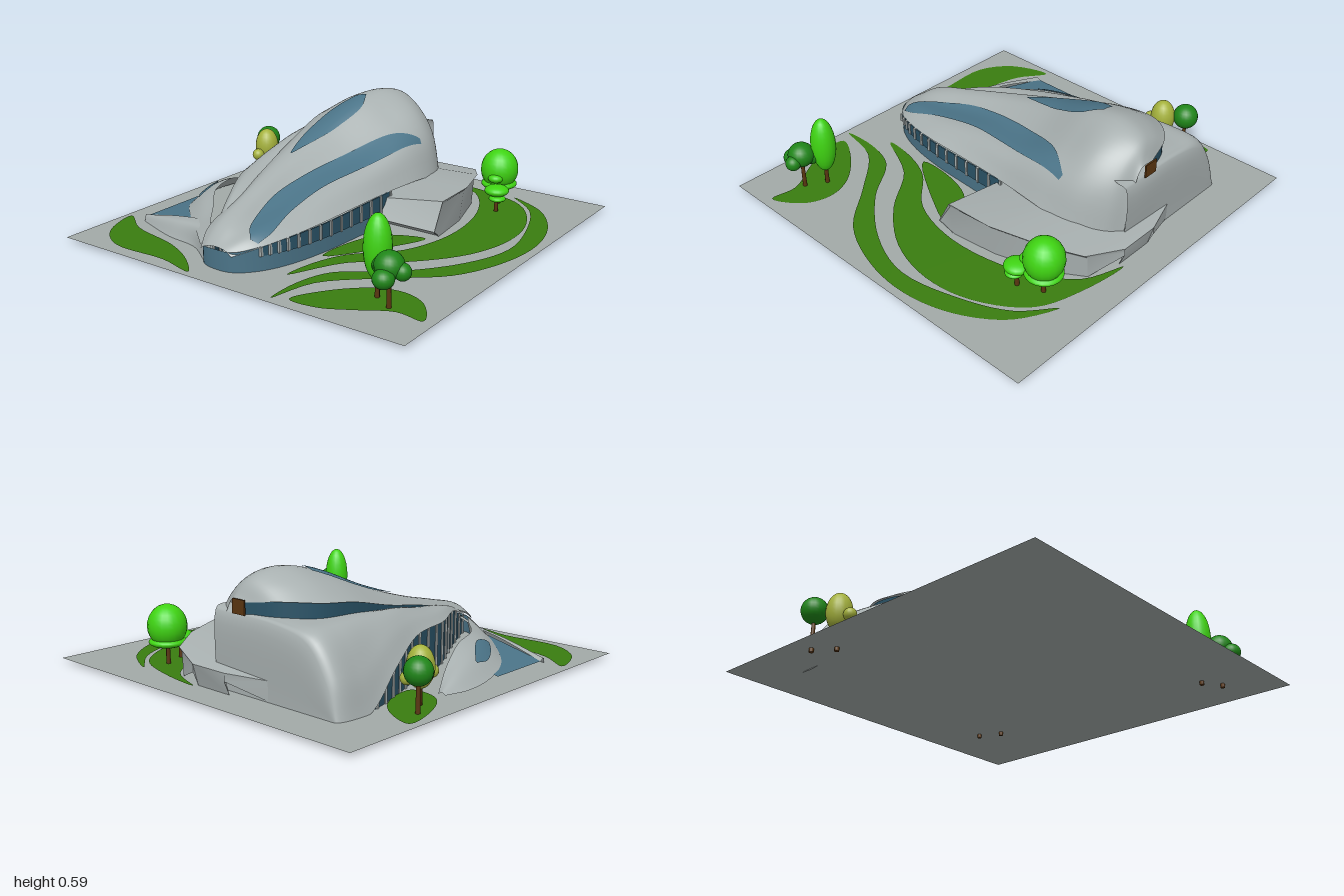
import * as THREE from 'three';
import { toCreasedNormals } from 'three/addons/utils/BufferGeometryUtils.js';

const mat = (name, color) => new THREE.MeshStandardMaterial({ name, color, side: THREE.DoubleSide });
const V = (x, y, z) => new THREE.Vector3(x, y, z);

export function createModel() {
  const root = new THREE.Group();
  const M = {
    paving: mat('paving', 0xa2aaa8), shell: mat('shell', 0xa8b0b0),
    glass: mat('glass', 0x4b7488), dark: mat('darkGlass', 0x2a5367),
    grass: mat('grass', 0x3a7d10), bark: mat('bark', 0x5a3510),
    leaf: mat('brightLeaf', 0x3fd412), deep: mat('deepLeaf', 0x1f8618), olive: mat('oliveLeaf', 0xa5b23c),
  };
  const add = (name, geo, m, parent = root) => {
    const mesh = new THREE.Mesh(geo, m);
    mesh.name = name;
    parent.add(mesh);
    return mesh;
  };

  // Grid surface from a function of u, v
  const grid = (nu, nv, f) => {
    const pos = [], idx = [];
    for (let j = 0; j <= nv; j++) for (let i = 0; i <= nu; i++) {
      const p = f(i / nu, j / nv);
      pos.push(p.x, p.y, p.z);
      if (i < nu && j < nv) {
        const a = j * (nu + 1) + i, b = a + nu + 1;
        idx.push(a, a + 1, b, a + 1, b + 1, b);
      }
    }
    const g = new THREE.BufferGeometry();
    g.setAttribute('position', new THREE.Float32BufferAttribute(pos, 3));
    g.setIndex(idx);
    g.computeVertexNormals();
    return g;
  };
  // Rows [z, x, y, x, y, ...] to points
  const toPoints = rows => rows.map(([z, ...r]) =>
    Array.from({ length: r.length / 2 }, (_, i) => V(r[2 * i], r[2 * i + 1], z)));
  // Smooth loft through rows of points
  const loft = (rows, nu = 24, nv = 64) => {
    const curves = rows.map(r => new THREE.CatmullRomCurve3(r));
    const cols = Array.from({ length: nu + 1 }, (_, i) =>
      new THREE.CatmullRomCurve3(curves.map(c => c.getPoint(i / nu))));
    return grid(nu, nv, (u, v) => cols[Math.round(u * nu)].getPoint(v));
  };
  const flat = pts => new THREE.CatmullRomCurve3(pts.map(([x, z]) => V(x, 0, z)));
  // Thin pane laid over a surface between two plan curves
  const drape = (name, left, right, target, m) => {
    const a = flat(left), b = flat(right), ray = new THREE.Raycaster();
    let last = 0.2;
    add(name, grid(8, 48, (u, v) => {
      const p = a.getPoint(v).lerp(b.getPoint(v), u);
      ray.set(V(p.x, 2, p.z), V(0, -1, 0));
      const hit = ray.intersectObject(target)[0];
      if (hit) last = hit.point.y;
      p.y = last + 0.007;
      return p;
    }), m);
  };
  // Upright pane hanging from a curve, with optional mullions
  const hang = (name, curve, v0, v1, bottom, m, posts = 0) => {
    const at = v => curve.getPoint(v0 + (v1 - v0) * v);
    add(name, grid(1, 40, (u, v) => {
      const p = at(v);
      p.y = u ? p.y : bottom(p);
      return p;
    }), m);
    for (let i = 0; i <= posts; i++) {
      const p = at(i / posts || 0), lo = bottom(p);
      if (!posts || p.y - lo < 0.02) continue;
      const post = add('mullion', new THREE.BoxGeometry(0.014, p.y - lo, 0.014), M.shell);
      post.position.set(p.x, (p.y + lo) / 2, p.z);
    }
  };

  // Ground
  add('ground', new THREE.PlaneGeometry(2, 2).rotateX(-Math.PI / 2).translate(0, 0.02, 0), M.paving);

  // Lawns
  const lawns = [
    [-.96, -.59, -.8, -.53, -.69, -.4, -.66, -.21, -.8, -.22, -.9, -.34],
    [-.96, .6, -.8, .7, -.5, .77, -.32, .86, -.2, .97, -.4, .93, -.72, .93, -.89, .81],
    [.36, .93, .43, .78, .59, .62, .73, .58, .86, .63, .95, .78, .81, .77, .65, .86, .51, .93],
    [.54, -.83, .75, -.72, .9, -.5, .96, -.24, .93, .03, .81, .3, .57, .51, .35, .73, .29, .97,
      .28, .78, .34, .59, .57, .41, .78, .14, .87, -.13, .81, -.45, .7, -.69],
    [.12, -.86, .38, -.83, .62, -.74, .78, -.5, .82, -.24, .75, .03, .57, .27, .33, .46, .19, .73,
      .2, .57, .27, .38, .46, .17, .54, -.13, .49, -.5, .33, -.77],
    [.19, .46, .19, .25, .27, .06, .47, -.02, .38, .19],
  ];
  for (const l of lawns) {
    const pts = Array.from({ length: l.length / 2 }, (_, i) => V(l[2 * i], -l[2 * i + 1], 0));
    const outline = new THREE.CatmullRomCurve3(pts, true).getPoints(pts.length * 5);
    add('lawn', new THREE.ShapeGeometry(new THREE.Shape(outline)).rotateX(-Math.PI / 2).translate(0, 0.025, 0), M.grass);
  }

  // Upper roof shell, sections from nose to back, left edge to right edge
  const upper = toPoints([
    [.86, -.22, .10, -.19, .12, -.14, .13, -.1, .13, -.06, .12, -.03, .10],
    [.75, -.27, .16, -.2, .2, -.14, .2, -.07, .18, 0, .175, .07, .14],
    [.5, -.29, .24, -.24, .27, -.18, .265, -.1, .22, .04, .215, .15, .17],
    [.2, -.36, .31, -.3, .34, -.22, .34, -.11, .28, .06, .265, .17, .18],
    [-.1, -.43, .37, -.34, .42, -.22, .435, -.05, .34, .11, .30, .19, .19],
    [-.4, -.47, .44, -.33, .52, -.17, .56, 0, .46, .14, .36, .22, .19],
    [-.58, -.45, .46, -.3, .55, -.15, .59, .02, .51, .14, .36, .2, .15],
    [-.72, -.33, .47, -.22, .53, -.13, .55, -.03, .49, .07, .35, .12, .1],
    [-.78, -.15, .45, -.1, .46, -.07, .45, -.03, .38, .01, .25, .04, .08],
  ]);
  const roof = add('upperShell', loft(upper), M.shell);

  // Lower left shell, wrapping down to the ground at the back
  const lower = toPoints([
    [.82, -.2, .12, -.18, .14, -.16, .14, -.1, .12, -.05, .1],
    [.5, -.36, .23, -.33, .25, -.3, .25, -.2, .23, -.1, .19],
    [.2, -.52, .25, -.46, .29, -.38, .3, -.3, .29, -.1, .25],
    [-.1, -.6, .25, -.54, .32, -.47, .36, -.38, .34, -.1, .28],
    [-.35, -.69, .17, -.62, .29, -.53, .37, -.44, .38, -.1, .36],
    [-.6, -.75, .02, -.69, .2, -.57, .37, -.42, .39, 0, .4],
    [-.74, -.74, .02, -.69, .2, -.57, .36, -.4, .39, .05, .41],
    [-.78, -.72, .02, -.66, .18, -.55, .33, -.36, .38, .04, .39],
    [-.785, -.7, .02, -.56, .02, -.4, .02, -.2, .02, .04, .02],
  ]);
  add('lowerShell', loft(lower), M.shell);

  // Long sweeping skylight and the smaller one beside the ridge
  drape('longSkylight',
    [[.14, -.48], [.03, -.32], [-.07, -.08], [-.13, .2], [-.13, .45], [-.05, .7], [.01, .77]],
    [[.155, -.47], [.12, -.27], [.06, 0], [.02, .25], [.025, .48], [.06, .68], [.05, .76]], roof, M.glass);
  drape('ridgeSkylight',
    [[-.26, -.45], [-.32, -.3], [-.33, -.12], [-.3, .03], [-.27, .12]],
    [[-.19, -.45], [-.15, -.35], [-.18, -.18], [-.235, .03], [-.26, .12]], roof, M.glass);

  // Glazing in the slit between the shells, with a panel at the back end
  const slit = new THREE.CatmullRomCurve3(upper.map(r => r[0].clone().add(V(0.015, 0, 0))));
  hang('slitWindow', slit, 0.3, 1, p => p.y - 0.1, M.dark);
  const panel = add('backPanel', new THREE.BoxGeometry(0.08, 0.07, 0.008), M.bark);
  panel.position.set(-0.13, 0.43, -0.79);

  // Glazing under the lower shell
  const lowEdge = new THREE.CatmullRomCurve3(lower.map(r => r[0].clone().add(V(0.02, 0, 0))));
  hang('sideWindow', lowEdge, 0, 0.62, () => 0.02, M.dark, 16);

  // Glass wall round the nose and along the right side
  const nose = new THREE.CatmullRomCurve3([
    V(-.29, .1, .76), V(-.22, .11, .84), V(-.13, .12, .865), V(-.03, .12, .85), V(.06, .14, .76),
    V(.12, .16, .62), V(.16, .17, .4), V(.175, .18, .15), V(.185, .19, -.12)]);
  hang('noseGlass', nose, 0, 1, () => 0.02, M.glass);
  const band = new THREE.CatmullRomCurve3(nose.points.slice(4).map(p => p.clone().add(V(0.006, 0, 0.002))));
  hang('sideBand', band, 0, 1, () => 0.095, M.dark, 13);

  // Low left wing and the strip along its front
  const wing = add('leftWing', loft(toPoints([
    [-.19, -.84, .03, -.82, .04, -.8, .03],
    [-.05, -.87, .03, -.8, .09, -.73, .1],
    [.15, -.85, .04, -.75, .13, -.65, .17],
    [.35, -.77, .06, -.67, .14, -.58, .18],
    [.55, -.58, .09, -.5, .14, -.42, .17],
    [.7, -.4, .1, -.35, .13, -.3, .16],
    [.82, -.26, .1, -.22, .12, -.18, .13],
  ])), M.shell);
  add('frontStrip', loft([
    [V(-.86, .04, .56), V(-.86, .05, .59), V(-.85, .02, .61)],
    [V(-.6, .10, .6), V(-.6, .09, .65), V(-.6, .02, .69)],
    [V(-.4, .13, .63), V(-.4, .11, .69), V(-.4, .02, .72)],
    [V(-.2, .15, .72), V(-.22, .11, .8), V(-.24, .02, .82)],
  ]), M.shell);
  drape('wingSkylight', [[-.79, .12], [-.78, .22], [-.72, .33], [-.66, .4]],
    [[-.78, .12], [-.71, .21], [-.66, .3], [-.65, .39]], wing, M.glass);
  add('wingGlass', grid(8, 8, (u, v) => V(-.86, .04, .19 + .38 * v)
    .lerp(V(-.75 + .25 * v, .07 + .03 * v, .2 + .42 * v), u)), M.glass);

  // Rear podium with a folded front and an overhanging roof edge
  const podium = toPoints([
    [-.1, .1, .02, .1, .02, .5, .02, .5, .02, .5, .02],
    [-.015, .1, .07, .1, .07, .52, .07, .52, .07, .515, .065],
    [-.09, .1, .02, .1, .15, .52, .21, .51, .19, .5, .02],
    [-.35, .05, .02, .05, .17, .51, .21, .49, .19, .47, .02],
    [-.62, -.1, .02, -.1, .17, .42, .19, .4, .17, .39, .02],
    [-.78, -.32, .02, -.33, .12, .32, .16, .3, .14, .29, .02],
    [-.86, -.1, .09, -.1, .13, .12, .13, .12, .11, .12, .09],
    [-.83, -.1, .02, -.1, .02, .12, .02, .12, .02, .12, .02],
  ]);
  add('podium', toCreasedNormals(grid(4, podium.length - 1, (u, v) =>
    podium[Math.round(v * (podium.length - 1))][Math.round(u * 4)]), 0.5), M.shell);

  // Trees: crowns are [x, y, z, rx, ry], each with a trunk when flagged
  const tree = (name, m, crowns) => {
    const g = new THREE.Group();
    g.name = name;
    root.add(g);
    for (const [x, y, z, rx, ry, trunk] of crowns) {
      const c = add('crown', new THREE.SphereGeometry(1, 20, 14), m, g);
      c.scale.set(rx, ry, rx);
      c.position.set(x, y, z);
      if (trunk) add('trunk', new THREE.CylinderGeometry(0.008, 0.012, y, 8).translate(x, y / 2, z), M.bark, g);
    }
  };
  tree('backTree', M.leaf, [[.51, .22, -.7, .1, .11, 1], [.56, .14, -.58, .065, .03, 1], [.53, .19, -.62, .04, .025],
    [.57, .1, -.57, .045, .018], [.51, .14, -.7, .095, .03]]);
  tree('tallTree', M.leaf, [[.66, .26, .69, .065, .155, 1]]);
  tree('roundTree', M.deep, [[.76, .22, .75, .068, .065, 1], [.82, .2, .74, .04, .04], [.71, .2, .73, .045, .045],
    [.77, .18, .81, .05, .045]]);
  tree('leftRoundTree', M.deep, [[-.9, .215, -.46, .067, .067, 1]]);
  tree('leftOliveTree', M.olive, [[-.83, .2, -.36, .066, .1, 1], [-.77, .14, -.38, .032, .032], [-.83, .165, -.28, .033, .033]]);
  return root;
}
